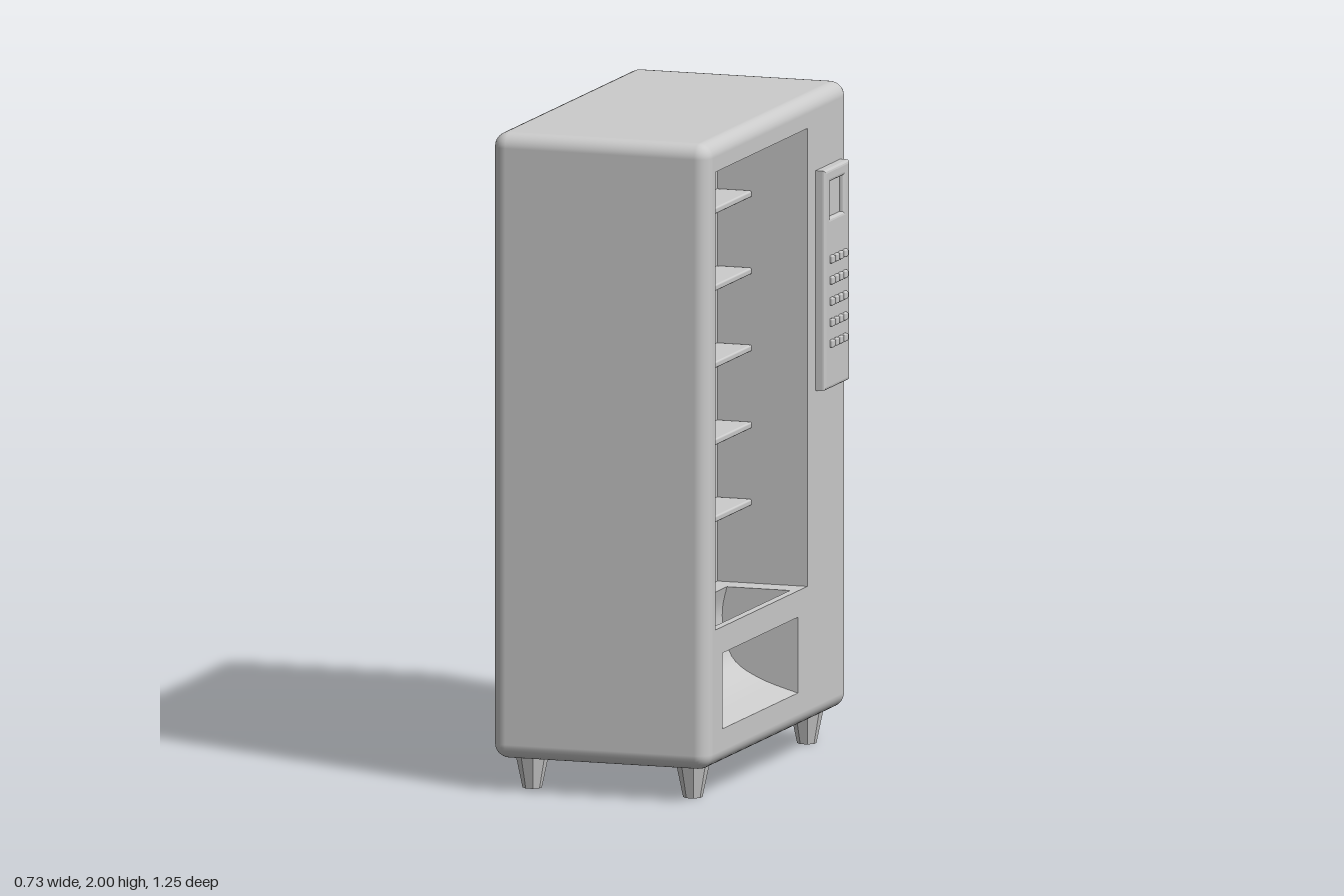
import * as THREE from 'three';
import { RoundedBoxGeometry } from 'three/addons/geometries/RoundedBoxGeometry.js';

const mat = new THREE.MeshStandardMaterial({ color: 0xcccccc });
const thin = new THREE.MeshStandardMaterial({ color: 0xcccccc, side: THREE.DoubleSide });
const flat = new THREE.MeshStandardMaterial({ color: 0xcccccc, flatShading: true });

// Openings and panel, given as [left, right, bottom, top] on the door face
const FRONT = 0.325, BACK = -0.365, NICHE = 0.04;
const windowRect = [-0.56, 0.26, 0.52, 1.91];
const trayRect = [-0.495, 0.175, 0.21, 0.44];
const panelRect = [0.345, 0.545, 1.112, 1.76];
const screenRect = [0.37, 0.515, 1.61, 1.74];

function rect([l, r, b, t], Type = THREE.Shape) {
  return new Type([[l, b], [r, b], [r, t], [l, t]].map(p => new THREE.Vector2(...p)));
}

export function createModel() {
  const root = new THREE.Group();
  root.name = 'vendingMachine';
  const machine = new THREE.Group(); // built facing +z, then turned to face +x
  machine.name = 'machine';
  machine.rotation.y = Math.PI / 2;
  root.add(machine);

  const add = (name, geo, x = 0, y = 0, z = 0, material = mat) => {
    const m = new THREE.Mesh(geo, material);
    m.name = name;
    m.position.set(x, y, z);
    machine.add(m);
    return m;
  };
  const plane = (name, w, h, x, y, z, rx = 0, ry = 0) =>
    add(name, new THREE.PlaneGeometry(w, h), x, y, z, thin).rotation.set(rx, ry, 0);

  // Cabinet shell: rounded box with its flat door face taken out
  const R = 0.045, W = 1.25, H = 1.9, D = FRONT - BACK;
  const box = new RoundedBoxGeometry(W, H, D, 4, R);
  const pos = box.attributes.position, nor = box.attributes.normal;
  const keepP = [], keepN = [];
  for (let i = 0; i < pos.count; i += 3) {
    if ([0, 1, 2].every(k => pos.getZ(i + k) > D / 2 - 1e-4)) continue;
    for (let k = i; k < i + 3; k++) {
      keepP.push(pos.getX(k), pos.getY(k), pos.getZ(k));
      keepN.push(nor.getX(k), nor.getY(k), nor.getZ(k));
    }
  }
  const shell = new THREE.BufferGeometry();
  shell.setAttribute('position', new THREE.Float32BufferAttribute(keepP, 3));
  shell.setAttribute('normal', new THREE.Float32BufferAttribute(keepN, 3));
  add('cabinetShell', shell, 0, 0.1 + H / 2, (FRONT + BACK) / 2);

  // Door face with the window and tray openings
  const face = rect([-W / 2 + R, W / 2 - R, 0.1 + R, 2 - R]);
  face.holes.push(rect(windowRect, THREE.Path), rect(trayRect, THREE.Path));
  add('doorFace', new THREE.ShapeGeometry(face), 0, 0, FRONT);

  // Display niche
  const [wl, wr, wb, wt] = windowRect;
  const ww = wr - wl, wh = wt - wb, wx = (wl + wr) / 2, wy = (wb + wt) / 2;
  const depth = FRONT - NICHE, midZ = (FRONT + NICHE) / 2;
  plane('nicheBack', ww, wh, wx, wy, NICHE);
  plane('nicheTop', ww, depth, wx, wt, midZ, Math.PI / 2);
  plane('nicheLeftWall', depth, wh, wl, wy, midZ, 0, Math.PI / 2);
  plane('nicheRightWall', depth, wh, wr, wy, midZ, 0, -Math.PI / 2);

  // Niche floor with the drop slot
  const slotBack = 0.1, slotFront = 0.3;
  const [tl, tr, tb, tt] = trayRect;
  const floor = rect([wl, wr, -FRONT, -NICHE]);
  floor.holes.push(rect([tl, tr, -slotFront, -slotBack], THREE.Path));
  add('nicheFloor', new THREE.ShapeGeometry(floor), 0, wb, 0, thin).rotation.x = -Math.PI / 2;
  const lipDepth = FRONT - slotFront - 0.001;
  add('slotLip', new THREE.BoxGeometry(tr - tl, wb - tt - 0.002, lipDepth),
    (tl + tr) / 2, (wb + tt) / 2, slotFront + lipDepth / 2);

  // Curved chute from the slot down to the tray; points are (depth, height)
  const chute = new THREE.SplineCurve([[slotBack, wb], [0.085, 0.43], [0.115, 0.31], [0.2, 0.25], [FRONT, tb]]
    .map(p => new THREE.Vector2(...p))).getPoints(20);
  const slide = new THREE.PlaneGeometry(tr - tl, 1, 1, 20);
  for (let i = 0; i < slide.attributes.position.count; i++) {
    const p = chute[Math.floor(i / 2)];
    slide.attributes.position.setY(i, p.y);
    slide.attributes.position.setZ(i, p.x);
  }
  slide.computeVertexNormals();
  add('chuteSlide', slide, (tl + tr) / 2, 0, 0, thin);
  const side = new THREE.Shape([...chute, new THREE.Vector2(FRONT, tt), new THREE.Vector2(slotFront, tt),
    new THREE.Vector2(slotFront, wb)]);
  for (const x of [tl, tr])
    add('chuteSide', new THREE.ShapeGeometry(side), x, 0, 0, thin).rotation.y = -Math.PI / 2;

  // Shelves
  for (let i = 0; i < 5; i++)
    add('shelf', new RoundedBoxGeometry(ww, 0.02, 0.115, 2, 0.006), wx, 1.702 - i * 0.234, NICHE + 0.0525);

  // Can lying on a shelf
  add('can', new THREE.CylinderGeometry(0.027, 0.027, 0.095, 20), -0.172, 1.04, 0.1).rotation.z = Math.PI / 2;

  // Control panel with a sunken screen
  const panel = rect(panelRect);
  panel.holes.push(rect(screenRect, THREE.Path));
  add('controlPanel', new THREE.ExtrudeGeometry(panel, {
    depth: 0.025, bevelEnabled: true, bevelSize: 0.01, bevelThickness: 0.008, bevelSegments: 3,
  }), 0, 0, FRONT - 0.003);
  const [sl, sr, sb, st] = screenRect;
  plane('screen', sr - sl, st - sb, (sl + sr) / 2, (sb + st) / 2, FRONT + 0.015);

  // Keypad
  for (let row = 0; row < 5; row++)
    for (let col = 0; col < 4; col++)
      add('keypadButton', new RoundedBoxGeometry(0.026, 0.024, 0.024, 2, 0.005),
        0.389 + col * 0.0385, 1.495 - row * 0.064, FRONT + 0.028);

  // Tapered feet
  for (const x of [-0.508, 0.508])
    for (const z of [-0.275, 0.235])
      add('foot', new THREE.CylinderGeometry(0.052, 0.029, 0.11, 8), x, 0.055, z, flat).rotation.y = Math.PI / 8;

  return root;
}
